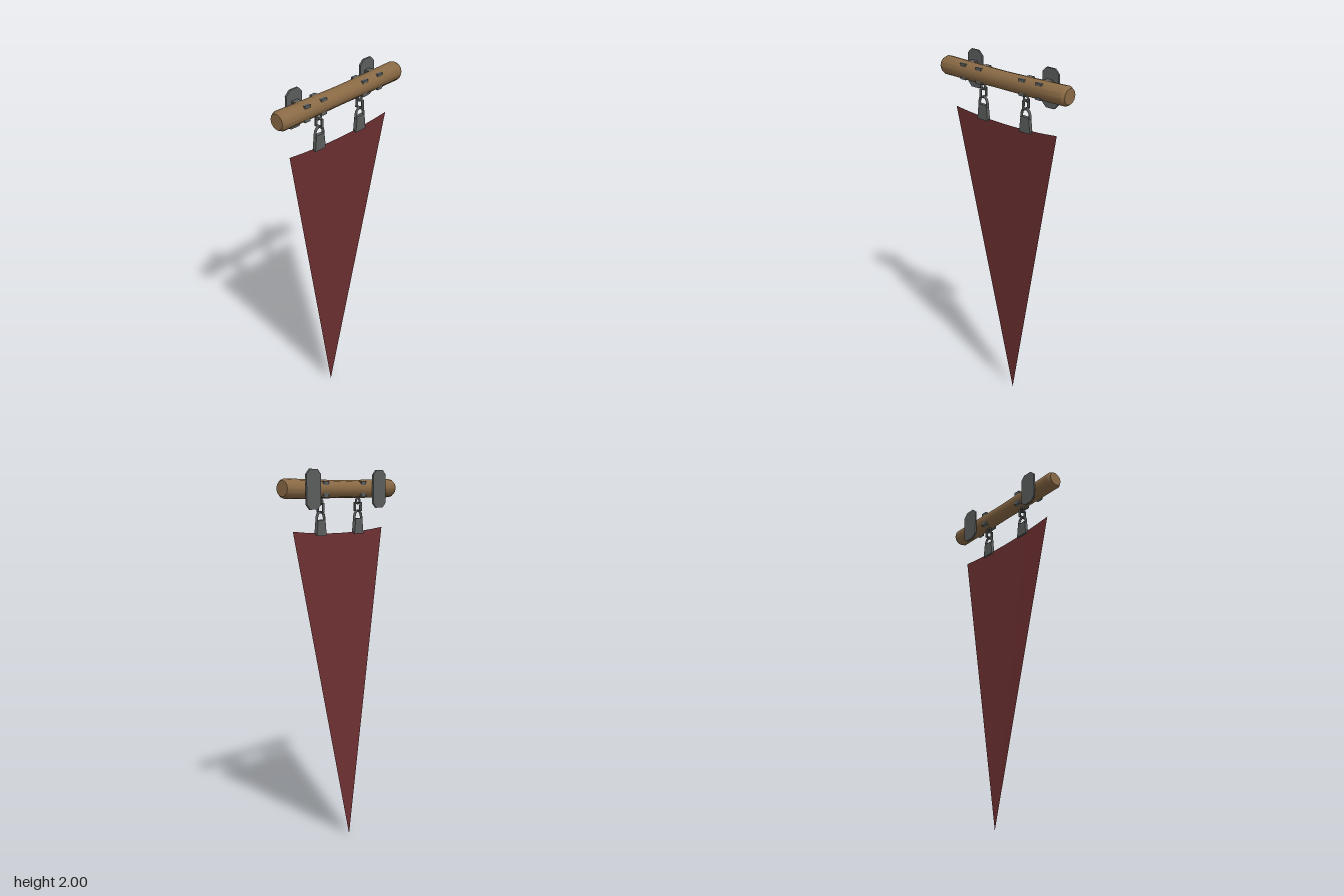
import * as THREE from 'three';
import { toCreasedNormals } from 'three/addons/utils/BufferGeometryUtils.js';

const wood = new THREE.MeshStandardMaterial({ name: 'wood', color: 0x8a6a45 });
const iron = new THREE.MeshStandardMaterial({ name: 'iron', color: 0x5c5e5e });
const cloth = new THREE.MeshStandardMaterial({ name: 'red cloth', color: 0x6e3031, side: THREE.DoubleSide });

const ROD_Y = 1.904, ROD_Z = 0.011;

function add(parent, name, geometry, material, x = 0, y = 0, z = 0) {
  const mesh = new THREE.Mesh(geometry, material);
  mesh.name = name;
  mesh.position.set(x, y, z);
  parent.add(mesh);
  return mesh;
}

// Extrude a closed outline, centred in depth
function slab(points, depth, hole) {
  const shape = new THREE.Shape(points.map(([x, y]) => new THREE.Vector2(x, y)));
  if (hole) shape.holes.push(new THREE.Path(hole.map(([x, y]) => new THREE.Vector2(x, y))));
  return new THREE.ExtrudeGeometry(shape, { depth, bevelEnabled: false }).translate(0, 0, -depth / 2);
}

const rect = (w, h) => [[-w, -h], [w, -h], [w, h], [-w, h]];

// Rectangular loop lying in the y-z plane, with its width along x
const loop = (w, h, wall, width) =>
  slab(rect(w, h), width, rect(w - wall, h - wall)).rotateY(Math.PI / 2);

// Slightly waisted, sagging pole with chamfered ends
function rodGeometry() {
  const profile = [[0, -0.417], [0.04, -0.417], [0.05, -0.4], [0.048, -0.2], [0.046, 0],
    [0.048, 0.2], [0.05, 0.4], [0.04, 0.417], [0, 0.417]].map(([r, y]) => new THREE.Vector2(r, y));
  const g = new THREE.LatheGeometry(profile, 12).rotateZ(-Math.PI / 2);
  const p = g.attributes.position;
  for (let i = 0; i < p.count; i++) {
    p.setY(i, p.getY(i) - 0.004 * (1 - (p.getX(i) / 0.417) ** 2));
  }
  return toCreasedNormals(g, 0.6);
}

// Tapering pennant, leaning back to its tip, with a dipped top edge
function pennantGeometry() {
  const g = new THREE.PlaneGeometry(2, 1, 8, 12);
  const p = g.attributes.position;
  for (let i = 0; i < p.count; i++) {
    const u = p.getX(i), t = Math.max(p.getY(i) + 0.5, 0.001);
    p.setXYZ(i, u * 0.345 * t, t * (1.672 + 0.02 * u * u), -0.06 + 0.072 * t);
  }
  g.computeVertexNormals();
  return g;
}

// Wall plate with cut corners and the strap holding the pole
function wallBracket(x) {
  const group = new THREE.Group();
  group.name = 'wallBracket';
  const w = 0.051, h = 0.1, c = 0.025;
  const outline = [[-w + c, -h], [w - c, -h], [w, -h + c], [w, h - c],
    [w - c, h], [-w + c, h], [-w, h - c], [-w, -h + c]];
  add(group, 'wallPlate', slab(outline, 0.01), iron, x, 1.9, -0.044);
  add(group, 'poleStrap', loop(0.046, 0.042, 0.008, 0.036), iron, x, 1.902, 0.003);
  return group;
}

// Strap, links and clamp from which the cloth hangs
function hanger(x) {
  const group = new THREE.Group();
  group.name = 'hanger';
  add(group, 'hangerStrap', loop(0.04, 0.042, 0.008, 0.036), iron, x, 1.9, 0.009);
  add(group, 'eyelet', new THREE.TorusGeometry(0.014, 0.006, 6, 12), iron, x, 1.838, 0.012);
  add(group, 'squareLink', loop(0.023, 0.024, 0.006, 0.014), iron, x, 1.807, 0.012);

  const arch = new THREE.CatmullRomCurve3([[-0.028, 1.735], [-0.027, 1.757], [-0.019, 1.777], [0, 1.785],
    [0.019, 1.777], [0.027, 1.757], [0.028, 1.735]].map(([px, py]) => new THREE.Vector3(px, py, 0)));
  add(group, 'shackle', new THREE.TubeGeometry(arch, 14, 0.007, 6), iron, x, 0, 0.012);

  const body = [[-0.036, 1.663], [0.036, 1.663], [0.027, 1.745], [-0.027, 1.745]];
  add(group, 'clampBody', slab(body, 0.02), iron, x, 0, 0.012);
  return group;
}

export function createModel() {
  const model = new THREE.Group();
  model.name = 'hangingPennant';
  add(model, 'pole', rodGeometry(), wood, 0, ROD_Y, ROD_Z);
  add(model, 'pennant', pennantGeometry(), cloth);
  for (const side of [-1, 1]) {
    model.add(wallBracket(side * 0.254), hanger(side * 0.145));
  }
  return model;
}
